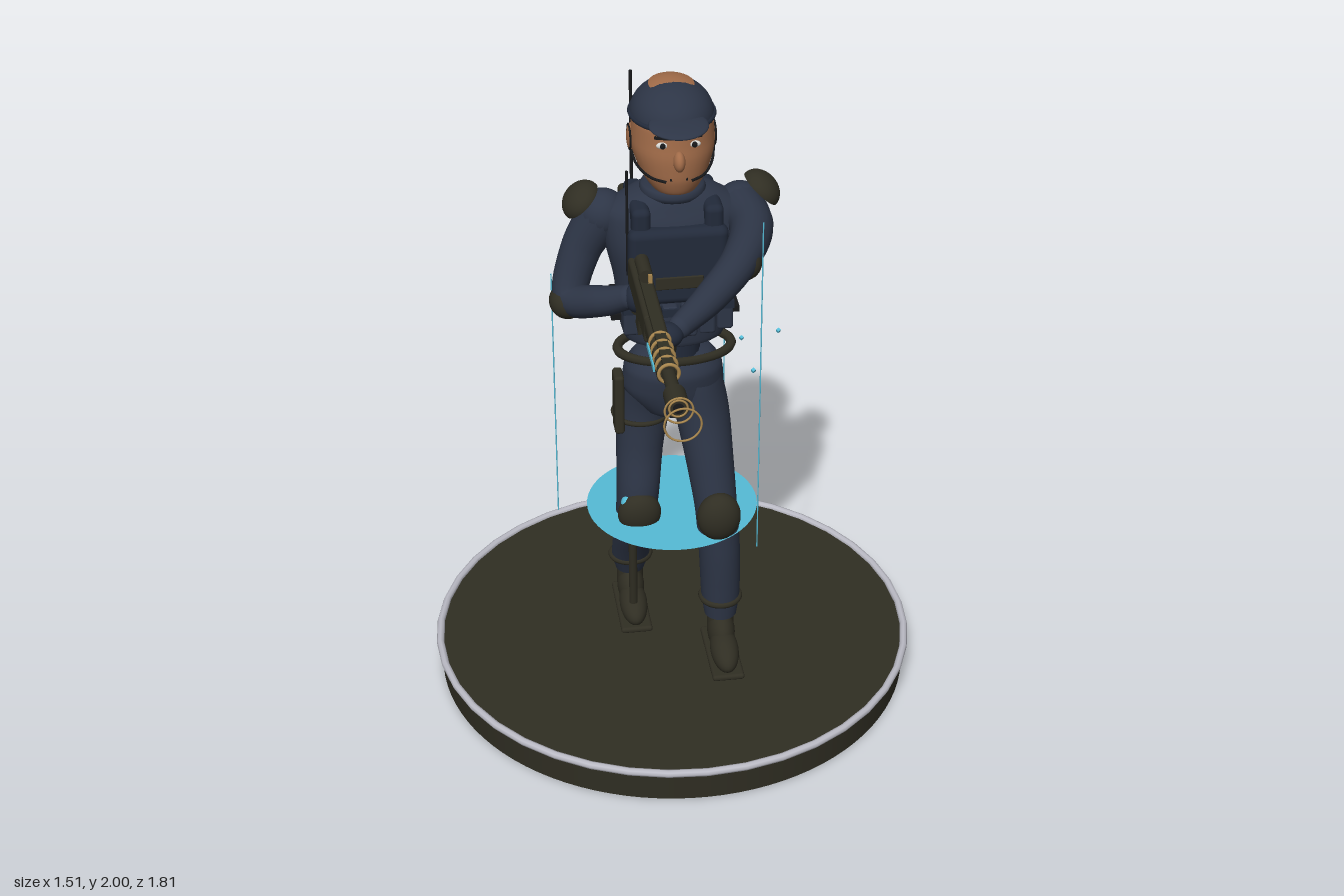
import * as THREE from 'three';
import { RoundedBoxGeometry } from 'three/addons/geometries/RoundedBoxGeometry.js';

const mat = (name, color, side = THREE.FrontSide) => {
  const m = new THREE.MeshStandardMaterial({ color, side });
  m.name = name;
  return m;
};

export function createModel() {
  const model = new THREE.Group();
  model.name = 'armedFigureOnStand';
  const navy = mat('navy cloth', 0x2d3546), olive = mat('dark olive', 0x302e23, THREE.DoubleSide);
  const skin = mat('skin', 0xa26c49), cyan = mat('cyan glow', 0x55bbd6, THREE.DoubleSide);
  const silver = mat('silver', 0xbcbcc6), gold = mat('brass', 0xa8864e);
  const black = mat('near black', 0x17181a), white = mat('eye white', 0xd8d8d4);
  const deepNavy = mat('deep navy', 0x222a3a);

  const V = (p) => new THREE.Vector3(...p);
  const add = (name, geo, m, pos = [0, 0, 0], rot = [0, 0, 0], scale = [1, 1, 1]) => {
    const mesh = new THREE.Mesh(geo, m);
    mesh.name = name;
    mesh.position.set(...pos);
    mesh.rotation.set(...rot);
    mesh.scale.set(...scale);
    model.add(mesh);
    return mesh;
  };
  const ball = (name, m, pos, radii, rot) => add(name, new THREE.SphereGeometry(1, 28, 18), m, pos, rot, radii);
  const box = (name, m, pos, size, rot) => add(name, new THREE.BoxGeometry(...size), m, pos, rot);
  const soft = (name, m, pos, size, r, rot) => add(name, new RoundedBoxGeometry(...size, 3, r), m, pos, rot);
  const rod = (name, m, a, b, r, r2 = r) => {
    const A = V(a), B = V(b), d = B.clone().sub(A);
    const mesh = add(name, new THREE.CylinderGeometry(r2, r, d.length(), 18), m, A.clone().add(B).multiplyScalar(0.5).toArray());
    mesh.quaternion.setFromUnitVectors(new THREE.Vector3(0, 1, 0), d.normalize());
    return mesh;
  };
  const ring = (name, m, pos, R, r, rot = [0, 0, 0], scale) => add(name, new THREE.TorusGeometry(R, r, 8, 40), m, pos, rot, scale);
  const cord = (name, m, pts, r) => add(name, new THREE.TubeGeometry(new THREE.CatmullRomCurve3(pts.map(V)), 30, r, 8), m);

  // Skin stretched over horizontal ellipses: rows of [y, x, z, rx, rz], bottom to top
  const loft = (name, m, rows, seg = 32) => {
    const centre = new THREE.CatmullRomCurve3(rows.map((r) => V([r[1], r[0], r[2]])));
    const radii = new THREE.CatmullRomCurve3(rows.map((r) => V([r[3], 0, r[4]])));
    const n = rows.length * 5, pos = [], idx = [];
    for (let i = 0; i <= n; i++) {
      const c = centre.getPoint(i / n), r = radii.getPoint(i / n);
      for (let j = 0; j < seg; j++) {
        const a = (j / seg) * Math.PI * 2;
        pos.push(c.x + Math.abs(r.x) * Math.sin(a), c.y, c.z + Math.abs(r.z) * Math.cos(a));
        if (i < n) {
          const p = i * seg + j, q = i * seg + (j + 1) % seg;
          idx.push(p, q, q + seg, p, q + seg, p + seg);
        }
      }
    }
    const g = new THREE.BufferGeometry();
    g.setAttribute('position', new THREE.Float32BufferAttribute(pos, 3));
    g.setIndex(idx);
    g.computeVertexNormals();
    return add(name, g, m);
  };
  // Tapering limb along a path: points of [x, y, z, radius], round at both ends
  const limb = (name, m, pts) => {
    const path = new THREE.CatmullRomCurve3(pts.map((p) => V(p.slice(0, 3))));
    const rad = new THREE.CatmullRomCurve3(pts.map((p) => V([p[3], 0, 0])));
    const n = 32, g = new THREE.TubeGeometry(path, n, 1, 18), P = g.attributes.position;
    for (let i = 0; i < P.count; i++) {
      const t = Math.floor(i / 19) / n, u = path.getUtoTmapping(t), c = path.getPoint(u), r = rad.getPoint(u).x;
      const v = new THREE.Vector3().fromBufferAttribute(P, i).sub(c).multiplyScalar(r).add(c);
      P.setXYZ(i, v.x, v.y, v.z);
    }
    add(name, g, m);
    for (const p of [pts[0], pts[pts.length - 1]]) ball(name + 'End', m, p.slice(0, 3), [p[3], p[3], p[3]]);
  };

  // Stand
  const cz = -0.145;
  add('stand', new THREE.CylinderGeometry(0.745, 0.74, 0.1, 96), olive, [0, 0.05, cz]);
  ring('standRim', silver, [0, 0.1, cz], 0.745, 0.012, [Math.PI / 2, 0, 0]);

  // Floating disc, light beams and sparks
  add('glowDisc', new THREE.CircleGeometry(0.265, 64), cyan, [0, 0.57, cz], [-Math.PI / 2, 0, 0]);
  for (const [x, z, top] of [[-0.355, -0.15, 1.4], [0.22, 0.135, 1.67], [0.215, -0.475, 1.11]])
    rod('beam', cyan, [x, 0.57, z], [x, top, z], 0.002);
  for (const p of [[0.335, 1.125, -0.2], [0.265, 0.965, -0.445], [0.055, 0.685, -0.56], [0.2, 1.19, 0.13], [0.06, 0.92, -0.46], [0.2, 1.2, -0.28]])
    box('spark', cyan, p, [0.01, 0.01, 0.01], [0.5, 0.6, 0]);

  // Trousers
  loft('leftLeg', navy, [[0.25, 0.13, 0.015, 0.05, 0.05], [0.32, 0.13, 0.01, 0.06, 0.062], [0.5, 0.125, 0.008, 0.064, 0.07],
    [0.64, 0.115, 0, 0.065, 0.07], [0.8, 0.1, -0.05, 0.074, 0.085], [0.95, 0.083, -0.1, 0.083, 0.1], [1.06, 0.07, -0.12, 0.075, 0.11]]);
  loft('rightLeg', navy, [[0.25, -0.12, -0.27, 0.045, 0.045], [0.32, -0.12, -0.245, 0.06, 0.055], [0.5, -0.118, -0.15, 0.062, 0.062],
    [0.63, -0.112, -0.11, 0.065, 0.068], [0.8, -0.1, -0.14, 0.072, 0.075], [0.95, -0.083, -0.155, 0.083, 0.09], [1.06, -0.07, -0.135, 0.075, 0.105]]);
  loft('hips', navy, [[0.9, 0, -0.14, 0.01, 0.02], [0.95, 0, -0.13, 0.1, 0.1], [1.03, 0, -0.125, 0.154, 0.118], [1.09, 0, -0.12, 0.148, 0.12],
    [1.14, 0, -0.12, 0.115, 0.095], [1.16, 0, -0.12, 0.07, 0.06]]);
  rod('waist', deepNavy, [0, 1.13, -0.11], [0, 1.23, -0.11], 0.08);

  // Boots, ankle straps and knee pads
  for (const [x, z] of [[0.13, 0], [-0.12, -0.285]]) {
    ball('bootToe', olive, [x, 0.165, z + 0.1], [0.044, 0.046, 0.09], [0.25, 0, 0]);
    ball('bootHeel', olive, [x, 0.19, z + 0.03], [0.043, 0.065, 0.075], [0.45, 0, 0]);
    rod('bootShaft', olive, [x, 0.19, z + 0.015], [x, 0.27, z + 0.012], 0.042);
    soft('bootSole', olive, [x, 0.12, z + 0.06], [0.1, 0.02, 0.27], 0.009);
  }
  ring('ankleStrap', olive, [0.13, 0.31, 0.01], 0.058, 0.011, [Math.PI / 2, 0, 0]);
  ring('ankleStrap', olive, [-0.12, 0.315, -0.25], 0.06, 0.011, [Math.PI / 2, 0, 0], [1, 0.9, 1]);
  ball('kneePad', olive, [0.115, 0.64, 0.06], [0.067, 0.083, 0.052], [0.1, 0, 0]);
  ball('kneePad', olive, [-0.113, 0.595, -0.06], [0.067, 0.077, 0.045], [0.2, 0, 0]);

  // Baton and holster on the right leg
  rod('baton', olive, [-0.135, 0.62, -0.06], [-0.13, 0.23, -0.1], 0.013);
  ball('batonLight', cyan, [-0.145, 0.635, -0.06], [0.025, 0.025, 0.025]);
  ball('kneeLight', cyan, [0.15, 0.635, -0.06], [0.025, 0.025, 0.025]);
  soft('holster', olive, [-0.168, 0.98, -0.1], [0.03, 0.2, 0.07], 0.01);
  ring('thighStrap', olive, [-0.095, 0.91, -0.15], 0.083, 0.008, [Math.PI / 2, 0, 0]);

  // Torso, belt and vest
  loft('torso', navy, [[1.19, 0, -0.1, 0.09, 0.06], [1.205, 0, -0.1, 0.145, 0.09], [1.28, 0, -0.105, 0.165, 0.105], [1.4, 0, -0.11, 0.175, 0.12],
    [1.52, 0, -0.115, 0.2, 0.125], [1.61, 0, -0.125, 0.205, 0.11], [1.67, 0, -0.13, 0.12, 0.085], [1.69, 0, -0.13, 0.05, 0.05]]);
  ring('belt', olive, [0, 1.168, -0.09], 0.17, 0.015, [Math.PI / 2, 0, 0], [1, 0.62, 1]);
  soft('chestPlate', deepNavy, [0, 1.48, -0.01], [0.29, 0.24, 0.06], 0.025);
  soft('backPlate', deepNavy, [0, 1.48, -0.225], [0.29, 0.28, 0.05], 0.022);
  soft('namePatch', olive, [0, 1.435, 0.018], [0.14, 0.04, 0.012], 0.004);
  for (let i = 0; i < 6; i++) {
    const x = (i - 2.5) * 0.055, z = 0.012 - 1.6 * x * x;
    soft('pouch', navy, [x, 1.31, z], [0.048, 0.1, 0.045], 0.01);
    box('pouchFlap', deepNavy, [x, 1.345, z + 0.012], [0.05, 0.025, 0.03]);
  }
  for (const s of [-1, 1]) {
    soft('shoulderStrap', deepNavy, [s * 0.105, 1.615, -0.115], [0.055, 0.09, 0.23], 0.02);
    for (const y of [1.29, 1.36]) box('sideBuckle', black, [s * 0.175, y, -0.09], [0.03, 0.018, 0.06]);
    // Shoulder pad: tilted open dome with a light strip under it
    add('shoulderPad', new THREE.SphereGeometry(1, 28, 10, 0, Math.PI * 2, 0, Math.PI / 2), olive,
      [s * 0.26, 1.635, -0.145], [0, 0, -s * 0.75], [0.063, 0.05, 0.07]);
    box('shoulderLight', cyan, [s * 0.235, 1.637, -0.145], [0.06, 0.006, 0.06], [0, 0, -s * 0.2]);
  }
  ring('collar', navy, [0, 1.675, -0.125], 0.075, 0.022, [Math.PI / 2, 0, 0]);
  rod('vestAntenna', black, [-0.145, 1.45, -0.02], [-0.145, 1.78, -0.02], 0.004);

  // Arms
  limb('leftArm', navy, [[0.2, 1.59, -0.14, 0.072], [0.215, 1.575, -0.03, 0.064], [0.155, 1.545, 0.12, 0.054], [0.05, 1.505, 0.25, 0.046], [-0.045, 1.475, 0.34, 0.034]]);
  ball('leftElbowPad', olive, [0.165, 1.535, 0.115], [0.056, 0.05, 0.05]);
  ball('leftGlove', deepNavy, [-0.085, 1.465, 0.365], [0.045, 0.036, 0.04]);
  limb('rightArm', navy, [[-0.2, 1.59, -0.15, 0.072], [-0.265, 1.47, -0.16, 0.06], [-0.3, 1.335, -0.125, 0.052], [-0.22, 1.365, -0.03, 0.046], [-0.15, 1.4, 0.02, 0.036]]);
  ball('rightElbowPad', olive, [-0.31, 1.32, -0.13], [0.055, 0.054, 0.06]);
  ball('rightGlove', deepNavy, [-0.125, 1.405, 0.035], [0.038, 0.045, 0.04]);

  // Head and face
  rod('neck', skin, [0, 1.63, -0.13], [0, 1.75, -0.12], 0.06);
  loft('head', skin, [[1.685, 0, -0.065, 0.015, 0.015], [1.7, 0, -0.075, 0.06, 0.065], [1.75, 0, -0.1, 0.098, 0.11], [1.83, 0, -0.125, 0.12, 0.137],
    [1.9, 0, -0.13, 0.115, 0.135], [1.96, 0, -0.135, 0.075, 0.09], [1.985, 0, -0.14, 0.02, 0.02]]);
  ball('nose', skin, [0, 1.815, 0.014], [0.017, 0.03, 0.026], [-0.3, 0, 0]);
  box('mouth', black, [0, 1.757, 0.004], [0.05, 0.008, 0.008]);
  for (const s of [-1, 1]) {
    ball('eye', white, [s * 0.045, 1.86, -0.003], [0.018, 0.01, 0.008]);
    ball('pupil', black, [s * 0.045, 1.86, 0.003], [0.008, 0.009, 0.006]);
    box('eyebrow', black, [s * 0.045, 1.882, -0.003], [0.045, 0.007, 0.008], [0, s * 0.3, 0]);
    ball('ear', skin, [s * 0.116, 1.83, -0.14], [0.014, 0.042, 0.027]);
    ring('earpiece', black, [s * 0.122, 1.83, -0.14], 0.036, 0.003, [0, Math.PI / 2, 0]);
    cord('chinStrap', black, [[s * 0.12, 1.8, -0.13], [s * 0.108, 1.77, -0.08], [s * 0.075, 1.755, -0.02], [s * 0.035, 1.75, 0.007]], 0.004);
  }

  // Cap with open crown, brim and ponytail
  add('cap', new THREE.SphereGeometry(1, 36, 14, 0, Math.PI * 2, 0, Math.PI / 2), navy, [0, 1.9, -0.135], [0, 0, 0], [0.12, 0.099, 0.143]);
  add('bareCrown', new THREE.SphereGeometry(1, 30, 6, 0, Math.PI * 2, 0, 0.57), skin, [0, 1.9, -0.145], [0, 0, 0], [0.121, 0.1, 0.146]);
  ring('capBand', deepNavy, [0, 1.905, -0.135], 0.119, 0.007, [Math.PI / 2, 0, 0], [1, 1.19, 1]);
  ball('brim', navy, [0, 1.92, 0], [0.085, 0.013, 0.078], [0.12, 0, 0]);
  limb('ponytail', skin, [[0, 1.89, -0.255, 0.022], [0, 1.85, -0.29, 0.027], [0, 1.76, -0.298, 0.026], [0, 1.67, -0.29, 0.021], [0, 1.61, -0.27, 0.01]]);

  // Backpack with antenna and hanging lamp
  soft('backpack', olive, [-0.005, 1.44, -0.325], [0.25, 0.26, 0.115], 0.015);
  box('backpackTrim', gold, [-0.005, 1.5, -0.383], [0.17, 0.01, 0.006]);
  ball('backpackKnob', olive, [0.06, 1.5, -0.385], [0.012, 0.012, 0.012]);
  rod('backpackAntenna', black, [-0.09, 1.56, -0.35], [-0.09, 1.94, -0.35], 0.005);
  rod('hangingBaton', olive, [0, 1.32, -0.32], [0, 1.12, -0.29], 0.016);
  ball('hangingLight', cyan, [0, 1.165, -0.31], [0.023, 0.023, 0.023]);

  // Rifle, pointing forward along z
  const gx = -0.12, gy = 1.51;
  const along = (name, m, z0, z1, r, y = gy) => rod(name, m, [gx, y, z0], [gx, y, z1], r);
  along('barrel', olive, 0.3, 0.78, 0.018);
  along('muzzle', olive, 0.745, 0.82, 0.03);
  along('muzzleBore', black, 0.819, 0.822, 0.015);
  ring('muzzleTrim', gold, [gx, gy, 0.82], 0.024, 0.003);
  soft('handguard', olive, [gx, 1.497, 0.49], [0.055, 0.05, 0.28], 0.012);
  soft('receiver', olive, [gx, 1.48, 0.18], [0.055, 0.085, 0.36], 0.012);
  soft('stock', olive, [gx, 1.47, -0.02], [0.045, 0.08, 0.12], 0.014);
  box('topRail', olive, [gx, 1.533, 0.4], [0.03, 0.012, 0.5]);
  for (let i = 0; i < 5; i++) ring('barrelCoil', gold, [gx, 1.512, 0.475 + i * 0.043], 0.027, 0.005);
  for (const s of [-1, 1]) box('energyStrip', cyan, [gx + s * 0.029, 1.485, 0.51], [0.006, 0.016, 0.13]);
  rod('foregrip', olive, [gx, 1.48, 0.4], [gx, 1.4, 0.39], 0.015);
  rod('pistolGrip', olive, [gx, 1.46, 0.05], [gx, 1.35, 0.015], 0.02);
  box('magazine', olive, [gx, 1.41, 0.13], [0.035, 0.12, 0.055], [0.15, 0, 0]);
  rod('scope', olive, [gx, 1.56, 0.1], [gx, 1.56, 0.2], 0.02);
  box('scopeMount', olive, [gx, 1.54, 0.15], [0.02, 0.03, 0.05]);
  box('sight', gold, [gx, 1.6, 0.285], [0.01, 0.025, 0.01]);
  cord('sling', olive, [[gx + 0.03, 1.46, 0.34], [gx + 0.06, 1.38, 0.23], [gx + 0.08, 1.325, 0.13], [gx + 0.06, 1.31, 0.04], [gx + 0.03, 1.35, -0.01]], 0.007);
  soft('slingPouch', olive, [gx + 0.07, 1.33, 0.165], [0.035, 0.06, 0.055], 0.008, [0.4, 0, 0]);

  // Thin rings floating ahead of the muzzle
  ring('muzzleRing', gold, [gx, gy, 0.83], 0.037, 0.003);
  ring('muzzleRing', gold, [gx, gy, 0.9], 0.048, 0.003);
  return model;
}
